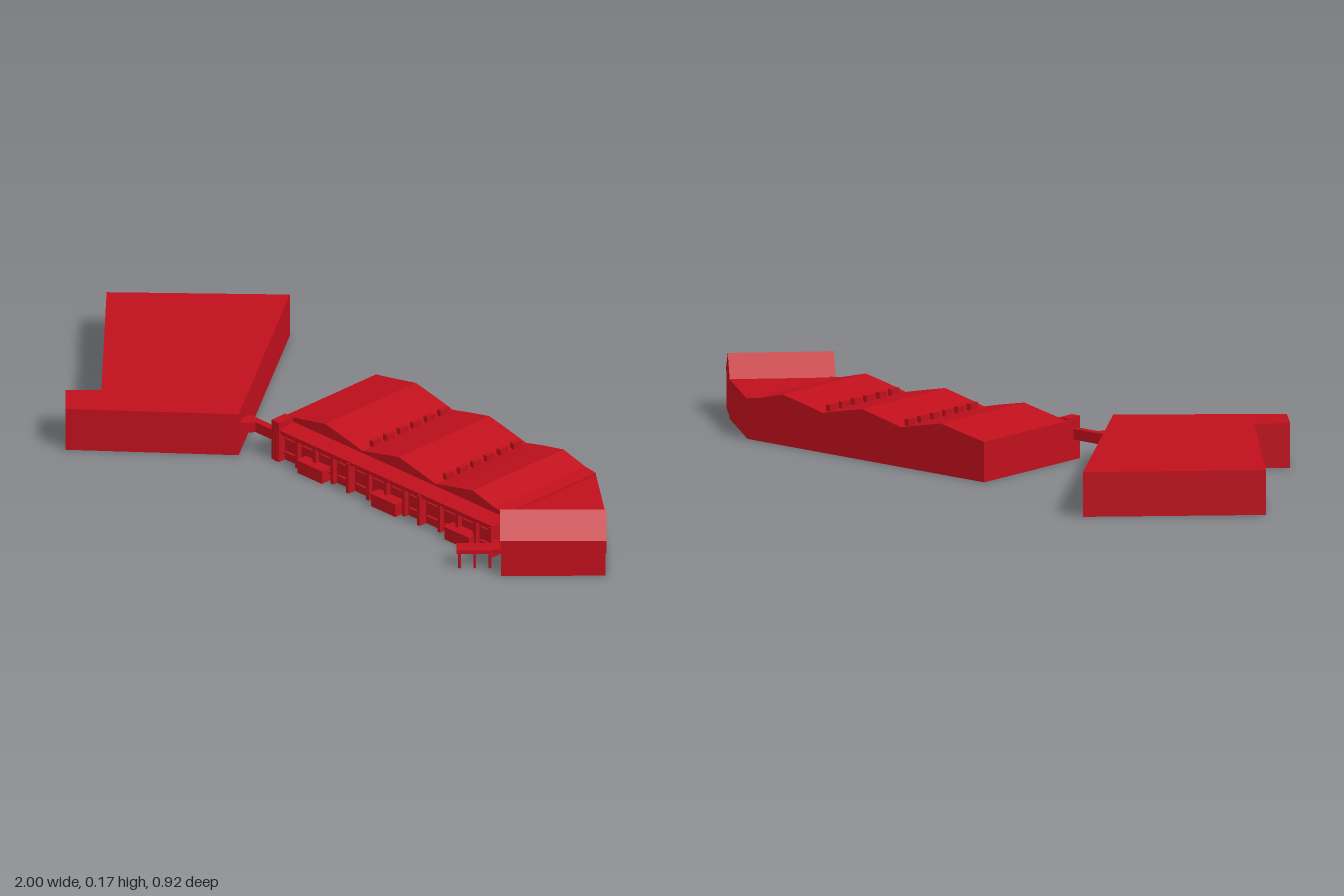
import * as THREE from 'three';

const red = new THREE.MeshStandardMaterial({ color: 0xc0101c, flatShading: true, side: THREE.DoubleSide });

export function createModel() {
  const model = new THREE.Group();

  const add = (name, geometry, parent = model) => {
    const mesh = new THREE.Mesh(geometry, red);
    mesh.name = name;
    parent.add(mesh);
    return mesh;
  };

  // Box given by its minimum and maximum on each axis
  const box = (name, x0, x1, y0, y1, z0, z1, parent) =>
    add(name, new THREE.BoxGeometry(x1 - x0, y1 - y0, z1 - z0), parent)
      .position.set((x0 + x1) / 2, (y0 + y1) / 2, (z0 + z1) / 2);

  const outline = (points) => new THREE.Shape(points.map(([a, b]) => new THREE.Vector2(a, b)));
  const extrude = (points, depth) =>
    new THREE.ExtrudeGeometry(outline(points), { depth, bevelEnabled: false });

  // Upright prism from a floor plan of [x, z] corners
  const prism = (name, plan, y0, y1) =>
    add(name, extrude(plan.map(([x, z]) => [x, -z]), y1 - y0).rotateX(-Math.PI / 2).translate(0, y0, 0));

  // Flat-roofed block set at an angle
  prism('annexBlock', [[-0.636, -0.463], [-1, -0.12], [-0.594, 0.307], [-0.663, 0.377],
    [-0.583, 0.457], [-0.225, 0.147]], 0, 0.125);

  // Raised passage between annex and hall
  prism('passage', [[-0.257, 0.072], [-0.257, 0.13], [-0.24, 0.13], [-0.213, 0.094],
    [-0.12, 0.094], [-0.12, 0.072]], 0.056, 0.086);

  // Hall with three shallow gables
  add('hall', extrude([[-0.147, 0], [0.7, 0], [0.7, 0.115], [0.66, 0.12], [0.575, 0.142],
    [0.49, 0.125], [0.432, 0.111], [0.37, 0.125], [0.29, 0.142], [0.21, 0.125], [0.15, 0.111],
    [0.09, 0.125], [0.007, 0.142], [-0.08, 0.125], [-0.147, 0.113]], 0.35).translate(0, 0, -0.305));
  box('cornerPier', -0.147, -0.118, 0, 0.119, 0.045, 0.098);

  // Rows of roof vents in the valleys
  for (const x of [0.15, 0.432]) {
    for (let i = 0; i < 6; i++) {
      const z = -0.282 + i * 0.052;
      box('roofVent', x - 0.007, x + 0.007, 0.105, 0.13, z, z + 0.032);
    }
  }

  // Shop front with a sloping awning and scalloped edge
  box('frontWall', -0.147, 0.7, 0, 0.086, 0.045, 0.075);
  add('awning', extrude([[-0.04, 0.106], [-0.093, 0.094], [-0.093, 0.09], [-0.04, 0.098]], 0.847)
    .rotateY(Math.PI / 2).translate(-0.147, 0, 0));
  const scallops = new THREE.Shape();
  const count = 30, step = 0.847 / count;
  scallops.moveTo(-0.147, 0.094);
  scallops.lineTo(-0.147, 0.087);
  for (let i = 0; i < count; i++) {
    const x = -0.147 + i * step;
    scallops.quadraticCurveTo(x + step / 2, 0.077, x + step, 0.087);
  }
  scallops.lineTo(0.7, 0.094);
  add('awningEdge', new THREE.ExtrudeGeometry(scallops,
    { depth: 0.003, bevelEnabled: false, curveSegments: 3 }).translate(0, 0, 0.091));

  // Posts, window frames and entrance bays
  for (let i = 0; i <= 12; i++) {
    const x = -0.129 + i * 0.0687;
    box('frontPost', x - 0.005, x + 0.005, 0, 0.09, 0.07, i % 4 ? 0.09 : 0.1);
    if (i < 12) {
      box('windowHead', x + 0.012, x + 0.057, 0.062, 0.068, 0.07, 0.081);
      box('windowSill', x + 0.012, x + 0.057, 0.022, 0.028, 0.07, 0.083);
    }
  }
  for (const x of [0.011, 0.294, 0.577]) {
    const bay = new THREE.Group();
    bay.name = 'entranceBay';
    model.add(bay);
    box('bayBody', x - 0.047, x + 0.047, 0, 0.036, 0.07, 0.109, bay);
    box('bayTop', x - 0.049, x + 0.049, 0.036, 0.04, 0.07, 0.112, bay);
  }

  // Low wing filling the corner between hall and gabled house
  prism('cornerWing', [[0.7, -0.305], [0.904, -0.142], [0.75, 0.06], [0.7, 0.06]], 0, 0.11);

  // Gabled house at 45 degrees, local z running along its ridge
  const house = new THREE.Group();
  house.name = 'gabledHouse';
  house.position.set(0.848, 0, 0.008);
  house.rotation.y = -Math.PI / 4;
  model.add(house);
  add('houseBody', extrude([[-0.067, 0], [0.067, 0], [0.067, 0.106], [0, 0.168], [-0.067, 0.106]], 0.286)
    .translate(0, 0, -0.143), house);
  for (const side of [-1, 1]) {
    add('roofSlope', extrude([[0, 0.169], [side * 0.069, 0.107], [side * 0.069, 0.104], [0, 0.165]], 0.29)
      .translate(0, 0, -0.145), house);
  }

  // Covered porch on slender posts
  box('porchRoof', -0.023, 0.023, 0.045, 0.055, 0.14, 0.264, house);
  box('porchLedge', -0.03, 0.03, 0.055, 0.062, 0.14, 0.165, house);
  for (const z of [0.172, 0.214, 0.256]) {
    for (const x of [-0.018, 0.018]) {
      add('porchPost', new THREE.CylinderGeometry(0.004, 0.004, 0.047, 8), house).position.set(x, 0.0235, z);
    }
  }
  return model;
}
